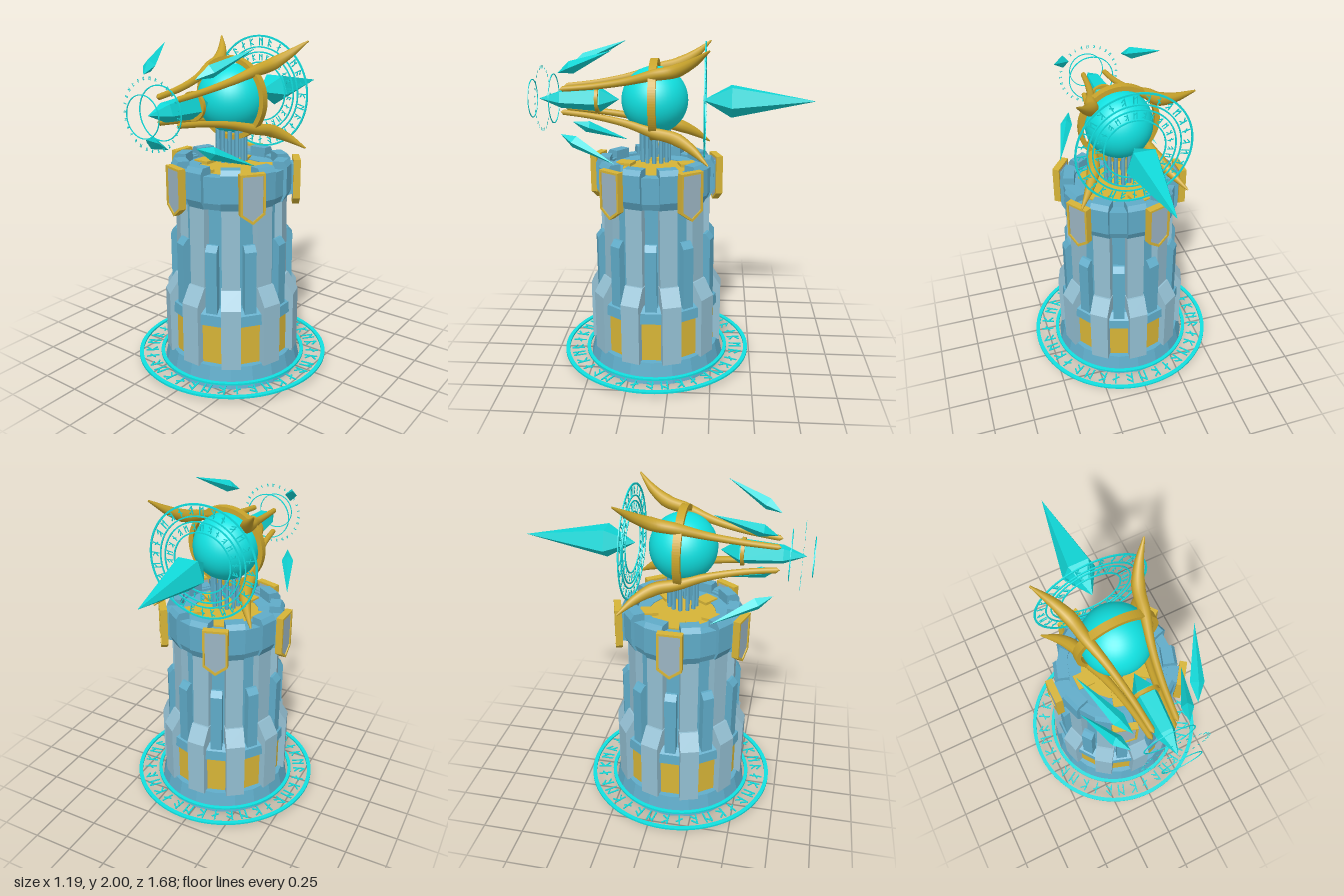
import * as THREE from 'three';
import { mergeGeometries } from 'three/addons/utils/BufferGeometryUtils.js';

const mat = (color, flatShading = true) =>
  new THREE.MeshStandardMaterial({ color, flatShading, side: THREE.DoubleSide });
const STONE = mat(0x5fabc8), PALE = mat(0x93bfd2), GOLD = mat(0xd6b437), GOLD_SMOOTH = mat(0xc9a42c, false);
const CYAN = mat(0x10d8d8), CYAN_SMOOTH = mat(0x10e0e0, false), PLATE = mat(0x9bb4c2);
const CZ = 0.107, CY = 1.663; // tower axis depth, orb height
const STEP = Math.PI / 5;

function add(parent, name, geo, material, x = 0, y = 0, z = 0) {
  const m = new THREE.Mesh(geo, material);
  m.name = name;
  m.position.set(x, y, z);
  parent.add(m);
  return m;
}

const polygon = pts => new THREE.Shape(pts.map(p => new THREE.Vector2(p[0], p[1])));
const extrude = (shape, depth, curveSegments = 12) =>
  new THREE.ExtrudeGeometry(shape, { depth, bevelEnabled: false, curveSegments });

// Block with a (radius, height) profile, facing outward at an angle
function block(parent, name, profile, width, angle, material) {
  const g = extrude(polygon(profile), width).translate(0, 0, -width / 2).rotateY(-Math.PI / 2);
  add(parent, name, g, material).rotation.y = angle;
}

const lathe = (pts, sides) =>
  new THREE.LatheGeometry(pts.map(p => new THREE.Vector2(p[0], p[1])), sides);

// Flat ring in the xy plane
function band(inner, outer, depth) {
  const s = new THREE.Shape().absarc(0, 0, outer, 0, Math.PI * 2);
  s.holes.push(new THREE.Path().absarc(0, 0, inner, 0, Math.PI * 2, true));
  return extrude(s, depth, 48).translate(0, 0, -depth / 2);
}

// Circle of abstract stroke marks in the xy plane
function marks(radius, count, h, t) {
  const parts = [];
  const stroke = (len, x, y, tilt, a) => parts.push(new THREE.BoxGeometry(t, len, t * 0.6)
    .rotateZ(tilt).translate(x, y + radius, 0).rotateZ(a));
  for (let i = 0; i < count; i++) {
    const a = i / count * Math.PI * 2, k = i % 4, w = h * 0.22;
    stroke(h, k === 2 ? 0 : -w, 0, 0, a);
    if (k === 0) stroke(h, w, 0, 0, a);
    if (k !== 2) stroke(h * 0.55, 0, h * 0.25, k === 1 ? -0.9 : 0.9, a);
    if (k === 1 || k === 3) stroke(h * 0.55, 0, -h * 0.2, 0.9, a);
    if (k === 2) stroke(h * 0.6, 0, 0, -1, a);
  }
  return mergeGeometries(parts);
}

// Faceted crystal along z: stations are [z, radius], rising in z
function crystal(stations, sides) {
  return lathe(stations.map(([z, r]) => [r, z]), sides).rotateX(Math.PI / 2);
}

// Tube whose thickness follows a list of radii
function taperedTube(points, radii) {
  const N = 48, M = 10;
  const curve = new THREE.CatmullRomCurve3(points);
  const g = new THREE.TubeGeometry(curve, N, 1, M);
  const p = g.attributes.position, n = g.attributes.normal;
  for (let i = 0; i <= N; i++) {
    const c = curve.getPointAt(i / N), f = i / N * (radii.length - 1);
    const k = Math.min(Math.floor(f), radii.length - 2);
    const r = i === N ? 0 : THREE.MathUtils.lerp(radii[k], radii[k + 1], f - k);
    for (let j = 0; j <= M; j++) {
      const v = i * (M + 1) + j;
      p.setXYZ(v, c.x + n.getX(v) * r, c.y + n.getY(v) * r, c.z + n.getZ(v) * r);
    }
  }
  return g;
}

function buildTower(tower) {
  // Hollow skirt, gold drum and belt
  add(tower, 'baseSkirt', lathe([[0.31, 0.1], [0.33, 0], [0.43, 0], [0.4, 0.13], [0.34, 0.135]], 20), STONE);
  const drum = new THREE.CylinderGeometry(0.385, 0.385, 0.29, 10);
  add(tower, 'goldDrum', drum, GOLD, 0, 0.245, 0);
  add(tower, 'belt', lathe([[0.36, 0.385], [0.405, 0.385], [0.4, 0.45], [0.35, 0.48], [0.28, 0.48]], 10), STONE);
  add(tower, 'shaft', lathe([[0.31, 0.45], [0.3, 1.08], [0.325, 1.14], [0.325, 1.26]], 10), STONE);

  for (let i = 0; i < 10; i++) {
    const a = i * STEP, mid = a + STEP / 2;
    block(tower, 'lowerPillar', [[0.32, 0.12], [0.41, 0.12], [0.41, 0.5], [0.345, 0.6], [0.3, 0.6]], 0.115, a, PALE);
    block(tower, 'upperPilaster', [[0.27, 0.5], [0.335, 0.5], [0.33, 1.1], [0.29, 1.14]], 0.105, a, PALE);
    block(tower, 'buttress', [[0.325, 0.47], [0.37, 0.45], [0.37, 0.84], [0.34, 0.875], [0.325, 0.875]], 0.07, mid, STONE);
    block(tower, 'merlon', [[0.27, 1.1], [0.33, 1.08], [0.355, 1.13], [0.355, 1.29], [0.335, 1.32], [0.27, 1.32]], 0.11, a, STONE);
    block(tower, 'parapetWall', [[0.28, 1.08], [0.32, 1.08], [0.335, 1.12], [0.335, 1.275], [0.28, 1.275]], 0.12, mid, STONE);
  }

  // Walkway and gold floor with five arms
  add(tower, 'walkway', lathe([[0.2, 1.22], [0.2, 1.255], [0.33, 1.265]], 20), STONE);
  add(tower, 'goldFloor', new THREE.CylinderGeometry(0.21, 0.21, 0.03, 20), GOLD, 0, 1.235, 0);

  // Five hanging shields
  const outline = (w, top, side, tip) => [[-w, side], [0, tip], [w, side], [w, top], [-w, top]];
  for (let i = 0; i < 5; i++) {
    const a = -Math.PI / 2 + i * STEP * 2;
    block(tower, 'goldArm', [[0.15, 1.24], [0.25, 1.24], [0.25, 1.268], [0.15, 1.268]], 0.09, a, GOLD);
    block(tower, 'shieldBracket', [[0.3, 1.08], [0.37, 1.1], [0.37, 1.28], [0.3, 1.28]], 0.1, a, STONE);
    const shield = new THREE.Group();
    shield.name = 'shield';
    shield.rotation.y = a;
    const frame = polygon(outline(0.073, 1.31, 1.075, 1.02));
    const inner = outline(0.06, 1.297, 1.083, 1.037);
    frame.holes.push(new THREE.Path(inner.map(p => new THREE.Vector2(...p)).reverse()));
    add(shield, 'shieldFrame', extrude(frame, 0.042), GOLD, 0, 0, 0.365);
    add(shield, 'shieldPlate', extrude(polygon(inner), 0.033), PLATE, 0, 0, 0.367);
    tower.add(shield);
  }

  // Cage of rods under the orb
  for (let i = 0; i < 12; i++) {
    const a = i / 12 * Math.PI * 2;
    add(tower, 'stemRod', new THREE.CylinderGeometry(0.013, 0.013, 0.19, 6), STONE,
      Math.sin(a) * 0.082, 1.39, Math.cos(a) * 0.082);
  }

  // Ground rings with marks
  const ground = new THREE.Group();
  ground.name = 'groundCircle';
  ground.position.y = 0.05;
  ground.rotation.x = -Math.PI / 2;
  add(ground, 'outerGroundRing', band(0.57, 0.595, 0.012), CYAN_SMOOTH);
  add(ground, 'innerGroundRing', band(0.435, 0.457, 0.012), CYAN_SMOOTH);
  add(ground, 'groundMarks', marks(0.514, 36, 0.08, 0.009), CYAN);
  tower.add(ground);
}

function buildWeapon(top) {
  add(top, 'orb', new THREE.SphereGeometry(0.197, 40, 28), CYAN_SMOOTH, 0, 0, CZ);
  add(top, 'orbRing', band(0.212, 0.24, 0.045), GOLD_SMOOTH, 0, 0, CZ);
  add(top, 'prongRing', band(0.06, 0.08, 0.02), GOLD_SMOOTH, 0, 0, 0.447);

  // Four curved prongs and four floating shards on the diagonals
  const path = [[0.315, -0.215], [0.24, -0.12], [0.19, -0.02], [0.165, 0.1], [0.122, 0.26], [0.088, 0.45], [0.066, 0.66]];
  const radii = [0.005, 0.025, 0.038, 0.034, 0.026, 0.021, 0.019, 0.017, 0.016];
  for (const sx of [-1, 1]) for (const sy of [-1, 1]) {
    const pts = path.map(([d, z]) => new THREE.Vector3(sx * d, sy * d, z));
    add(top, 'prong', taperedTube(pts, radii), GOLD_SMOOTH);
    const tail = new THREE.Vector3(sx * 0.315, sy * 0.315, 0.31);
    const head = new THREE.Vector3(sx * 0.175, sy * 0.175, 0.64);
    const len = tail.distanceTo(head);
    const shard = add(top, 'shard', crystal([[0, 0], [len * 0.74, 0.036], [len, 0]], 4), CYAN);
    shard.position.copy(tail);
    shard.quaternion.setFromUnitVectors(new THREE.Vector3(0, 0, 1), head.sub(tail).normalize());
  }

  // Long crystals on the axis
  add(top, 'frontCrystal', crystal([[0.32, 0], [0.43, 0.074], [0.67, 0.055], [0.8, 0]], 5), CYAN);
  add(top, 'rearCrystal', crystal([[-0.837, 0], [-0.345, 0.102], [-0.175, 0]], 5), CYAN);

  // Upright rings behind the orb
  for (const [a, b] of [[0.326, 0.337], [0.262, 0.27], [0.232, 0.24], [0.172, 0.18]])
    add(top, 'rearRing', band(a, b, 0.006), CYAN_SMOOTH, 0, 0, -0.19);
  add(top, 'rearOuterMarks', marks(0.298, 28, 0.046, 0.006), CYAN, 0, 0, -0.19);
  add(top, 'rearInnerMarks', marks(0.206, 26, 0.038, 0.005), CYAN, 0, 0, -0.19);

  // Thin rings around the front tip
  add(top, 'frontRing', band(0.14, 0.146, 0.004), CYAN_SMOOTH, 0, 0, 0.71);
  add(top, 'frontMarks', marks(0.185, 28, 0.019, 0.003), CYAN, 0, 0, 0.777);
  add(top, 'frontTipRing', band(0.108, 0.113, 0.004), CYAN_SMOOTH, 0, 0, 0.838);
}

export function createModel() {
  const model = new THREE.Group();
  model.name = 'crystalTower';
  const tower = new THREE.Group();
  tower.name = 'tower';
  tower.position.z = CZ;
  buildTower(tower);
  const top = new THREE.Group();
  top.name = 'orbAssembly';
  top.position.y = CY;
  buildWeapon(top);
  model.add(tower, top);
  return model;
}
